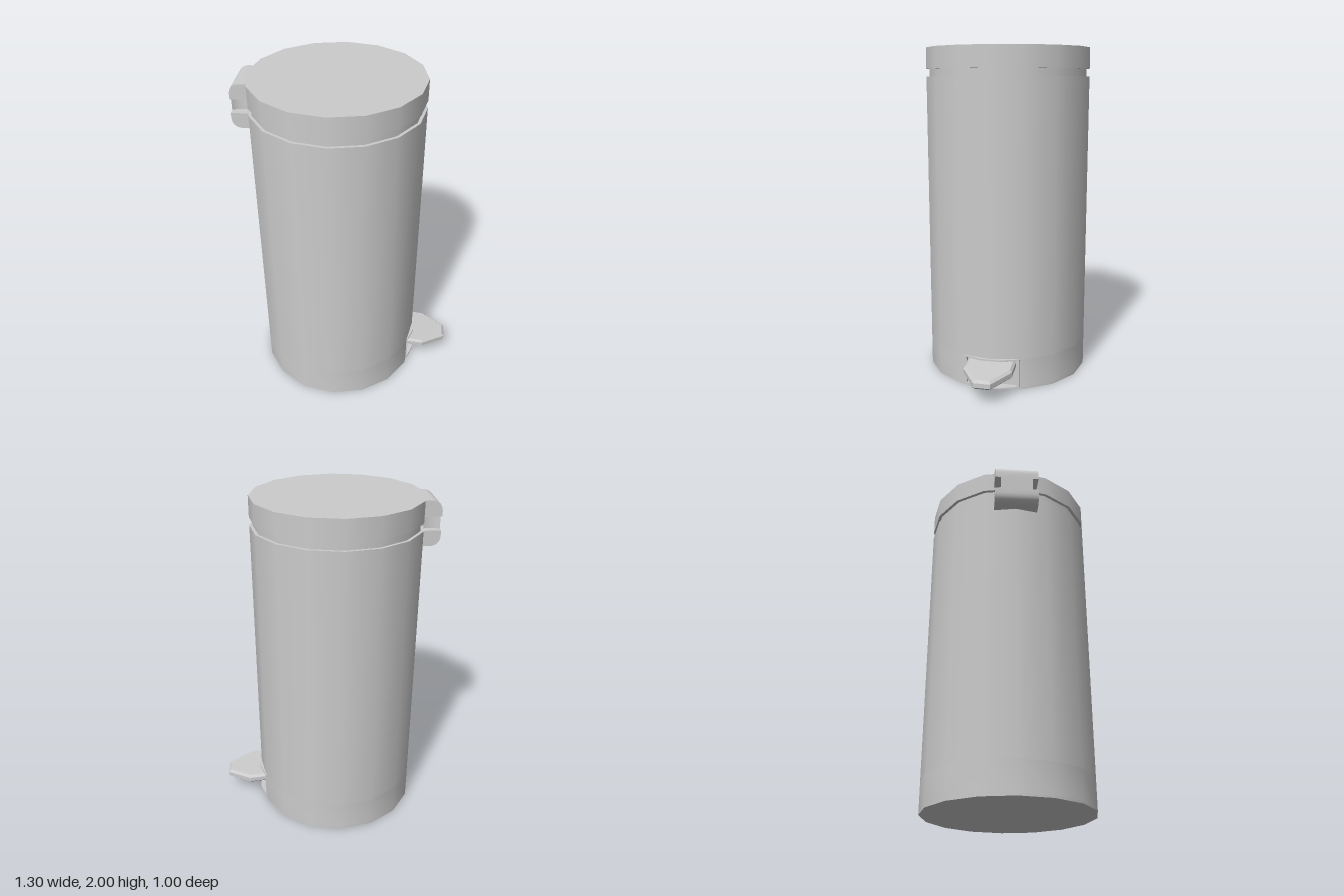
import * as THREE from 'three';
import { toCreasedNormals } from 'three/addons/utils/BufferGeometryUtils.js';

const CX = -0.075, R = 0.5, SIDES = 16;
const mat = new THREE.MeshStandardMaterial({ color: 0xcccccc });

function add(group, name, geometry) {
  const mesh = new THREE.Mesh(geometry, mat);
  mesh.name = name;
  group.add(mesh);
  return mesh;
}

// Sixteen-sided drum with a corner pointing along +x
function drum(group, name, radius, y0, y1) {
  const g = new THREE.CylinderGeometry(radius, radius, y1 - y0, SIDES);
  g.rotateY(Math.PI / 2);
  add(group, name, g.translate(CX, (y0 + y1) / 2, 0));
}

// Plan outline in (x, z), raised from y0 to y1
function slab(shape, y0, y1, bevel = 0) {
  const g = new THREE.ExtrudeGeometry(shape, {
    depth: y1 - y0 - 2 * bevel, bevelEnabled: bevel > 0, bevelSize: bevel,
    bevelThickness: bevel, bevelOffset: -bevel, bevelSegments: 1, curveSegments: 8,
  });
  return g.rotateX(-Math.PI / 2).translate(0, y0 + bevel, 0);
}

const outline = (pts) => new THREE.Shape(pts.map(([x, y]) => new THREE.Vector2(x, y)));

export function createModel() {
  const group = new THREE.Group();
  group.name = 'pedalBin';

  // Body, neck and lid
  drum(group, 'baseRim', R, 0, 0.012);
  drum(group, 'body', R, 0.188, 1.83);
  drum(group, 'neck', 0.482, 1.83, 1.875);
  drum(group, 'lid', R, 1.875, 2);

  // Lowest part of the body, cut away behind the pedal
  const ring = [];
  for (let i = 1; i < SIDES; i++) {
    const a = (i / SIDES) * Math.PI * 2;
    ring.push([CX + R * Math.cos(a), R * Math.sin(a)]);
  }
  ring.push([0.396, -0.152], [0.375, -0.152], [0.375, 0.152], [0.396, 0.152]);
  add(group, 'lowerBody', toCreasedNormals(slab(outline(ring), 0.012, 0.188), 0.6));

  // Frame around the pedal opening
  const lip = outline([[0.375, -0.17], [0.395, -0.17], [0.435, -0.06],
    [0.435, 0.06], [0.395, 0.17], [0.375, 0.17]]);
  add(group, 'frameTop', slab(lip, 0.18, 0.19));
  add(group, 'frameBottom', slab(lip, 0.008, 0.016));
  for (const s of [-1, 1]) {
    const post = new THREE.BoxGeometry(0.026, 0.176, 0.016);
    add(group, 'framePost', post.translate(0.388, 0.1, s * 0.16));
  }

  // Pedal: tapered plate sloping down toward its tip
  const pedalShape = outline([[0.36, -0.145], [0.5, -0.145], [0.647, -0.05],
    [0.647, 0.05], [0.5, 0.145], [0.36, 0.145]]);
  const pedal = slab(pedalShape, 0.12, 0.175, 0.014);
  const p = pedal.attributes.position;
  for (let i = 0; i < p.count; i++) p.setY(i, p.getY(i) - 0.1 * (p.getX(i) - 0.4));
  pedal.computeVertexNormals();
  add(group, 'pedal', toCreasedNormals(pedal, 0.3));

  // Hinge: two rounded knuckles, mirrored about the slot
  const hinge = new THREE.Group();
  hinge.name = 'hinge';
  hinge.position.y = 1.855;
  group.add(hinge);
  for (const s of [-1, 1]) {
    const k = new THREE.Shape();
    k.moveTo(-0.54, s * 0.04);
    k.lineTo(-0.65, s * 0.04);
    k.lineTo(-0.65, s * 0.075);
    k.quadraticCurveTo(-0.645, s * 0.125, -0.595, s * 0.13);
    k.lineTo(-0.54, s * 0.13);
    const g = new THREE.ExtrudeGeometry(k, { depth: 0.26, bevelEnabled: false, curveSegments: 8 });
    add(hinge, s > 0 ? 'upperKnuckle' : 'lowerKnuckle', toCreasedNormals(g.translate(0, 0, -0.13), 0.6));
  }

  // Waisted web joining the knuckles
  const web = new THREE.Shape();
  web.moveTo(-0.65, -0.095);
  web.quadraticCurveTo(-0.605, -0.06, -0.54, -0.09);
  web.lineTo(-0.54, 0.09);
  web.quadraticCurveTo(-0.605, 0.06, -0.65, 0.095);
  add(hinge, 'hingeWeb', toCreasedNormals(slab(web, -0.04, 0.04), 0.6));

  return group;
}
